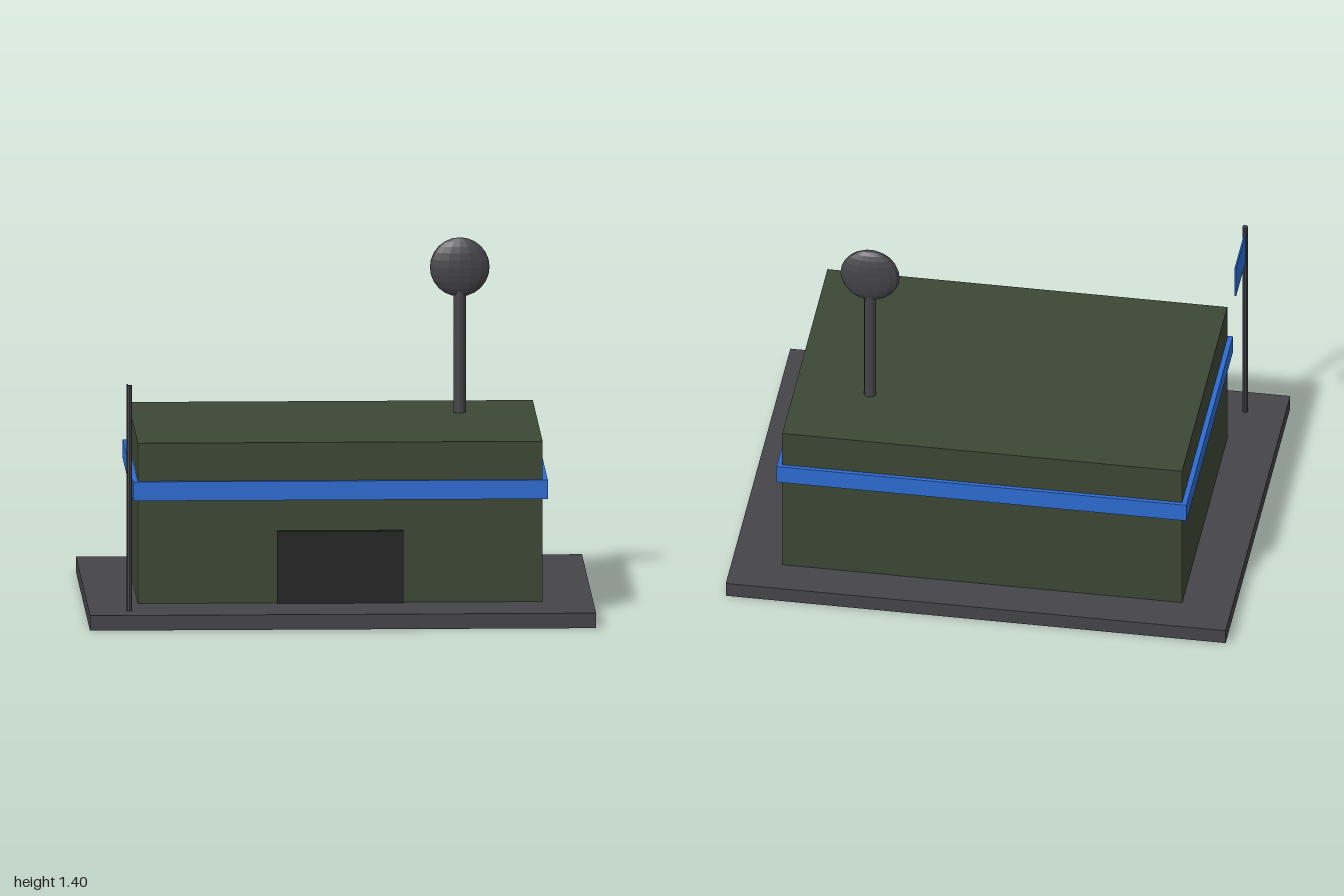
import * as THREE from 'three';

export function createModel() {
  const model = new THREE.Group();
  model.name = 'outpost';

  const mat = (name, color) => {
    const m = new THREE.MeshStandardMaterial({ color, flatShading: true });
    m.name = name;
    return m;
  };
  const green = mat('olive green', 0x3d4735);
  const grey = mat('dark grey', 0x454449);
  const blue = mat('blue', 0x2d6cd2);
  const black = mat('charcoal', 0x232323);

  const add = (name, geometry, material, x, y, z) => {
    const mesh = new THREE.Mesh(geometry, material);
    mesh.name = name;
    mesh.position.set(x, y, z);
    model.add(mesh);
    return mesh;
  };
  const box = (name, material, [w, h, d], [x, y, z]) =>
    add(name, new THREE.BoxGeometry(w, h, d), material, x, y, z);

  // Slab and building
  box('baseSlab', grey, [2, 0.06, 1.6], [0, 0.03, 0]);
  box('building', green, [1.6, 0.64, 1.12], [0, 0.38, -0.08]);
  box('stripeBand', blue, [1.64, 0.076, 1.152], [0, 0.51, -0.08]);
  box('door', black, [0.5, 0.288, 0.024], [0, 0.204, 0.488]);

  // Roof mast with a flattened dish
  add('mast', new THREE.CylinderGeometry(0.024, 0.024, 0.5, 12), grey, 0.5, 0.95, -0.32);
  const dish = add('dish', new THREE.SphereGeometry(0.118, 16, 12), grey, 0.5, 1.28, -0.32);
  dish.scale.z = 0.34;

  // Flagpole and flag, flying toward the back
  add('flagpole', new THREE.CylinderGeometry(0.011, 0.011, 0.9, 8), grey, -0.84, 0.51, 0.672);
  box('flag', blue, [0.006, 0.138, 0.238], [-0.84, 0.861, 0.553]);

  return model;
}
